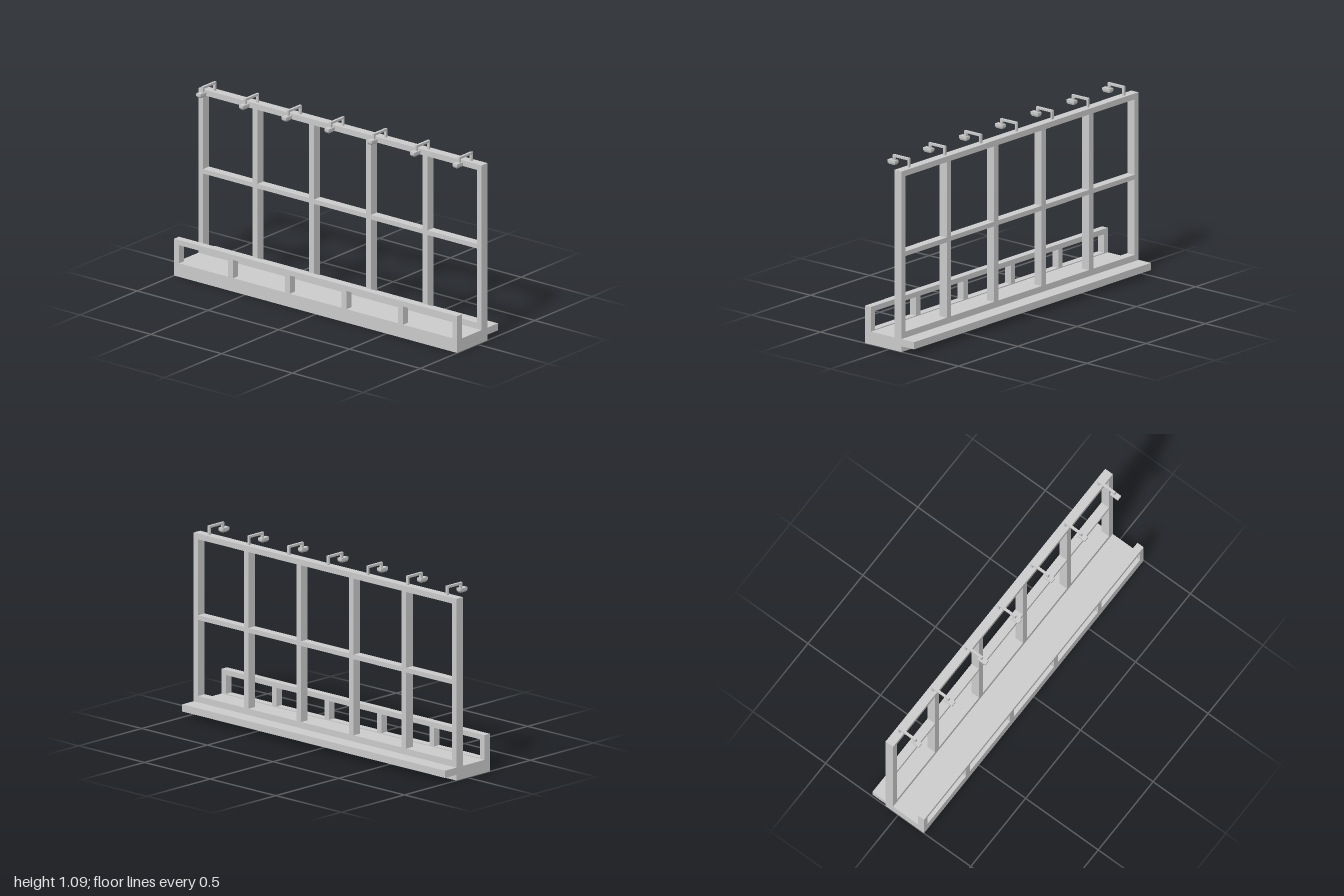
import * as THREE from 'three';

const material = new THREE.MeshStandardMaterial({ color: 0xcccccc, flatShading: true });
const polygon = (points) => points.map(([x, y]) => new THREE.Vector2(x, y));

// Box given by its lower and upper corners
function box(name, [x0, y0, z0], [x1, y1, z1]) {
  const mesh = new THREE.Mesh(new THREE.BoxGeometry(x1 - x0, y1 - y0, z1 - z0), material);
  mesh.position.set((x0 + x1) / 2, (y0 + y1) / 2, (z0 + z1) / 2);
  mesh.name = name;
  return mesh;
}

// Side outline of [z, y] points, extruded along x and centred on x = 0
function sideProfile(name, points, width) {
  const shape = new THREE.Shape(polygon(points.map(([z, y]) => [-z, y])));
  const geometry = new THREE.ExtrudeGeometry(shape, { depth: width, bevelEnabled: false });
  geometry.translate(0, 0, -width / 2).rotateY(Math.PI / 2);
  const mesh = new THREE.Mesh(geometry, material);
  mesh.name = name;
  return mesh;
}

// Full-width panel with five openings in each row
function openPanel(name, y0, y1, z0, z1, rows) {
  const shape = new THREE.Shape(polygon([[-1, y0], [1, y0], [1, y1], [-1, y1]]));
  for (const [low, high] of rows) {
    for (let i = 0; i < 5; i++) {
      const left = i === 0 ? -0.966 : -1 + i * 0.4 + 0.018;
      const right = i === 4 ? 0.966 : -0.6 + i * 0.4 - 0.018;
      shape.holes.push(new THREE.Path(polygon([[left, low], [left, high], [right, high], [right, low]])));
    }
  }
  const geometry = new THREE.ExtrudeGeometry(shape, { depth: z1 - z0, bevelEnabled: false });
  geometry.translate(0, 0, z0);
  const mesh = new THREE.Mesh(geometry, material);
  mesh.name = name;
  return mesh;
}

// Gooseneck arm with a rectangular lamp head tapering downwards
function createLamp(x) {
  const lamp = new THREE.Group();
  lamp.name = 'lamp';
  lamp.add(sideProfile('lampArm', [
    [-0.067, 1.035], [-0.067, 1.087], [0.052, 1.087], [0.052, 1.055],
    [0.038, 1.055], [0.038, 1.074], [-0.055, 1.074], [-0.055, 1.035],
  ], 0.014));
  lamp.add(box('lampHead', [-0.015, 1.04, 0.028], [0.015, 1.055, 0.083]));

  const taper = new THREE.CylinderGeometry(Math.SQRT1_2, Math.SQRT1_2 * 0.75, 0.01, 4);
  taper.rotateY(Math.PI / 4).scale(0.03, 1, 0.055);
  const lens = new THREE.Mesh(taper, material);
  lens.name = 'lampLens';
  lens.position.set(0, 1.035, 0.0555);
  lamp.add(lens);

  lamp.position.x = x;
  return lamp;
}

export function createModel() {
  const model = new THREE.Group();
  model.name = 'billboardFrame';

  // Walkway slab with the raised ledge behind it
  model.add(sideProfile('base', [
    [0.135, 0], [0.135, 0.074], [-0.178, 0.074], [-0.178, 0.033],
    [-0.087, 0.033], [-0.087, 0],
  ], 2));

  // Front railing and tall rear frame
  model.add(openPanel('frontRailing', 0, 0.215, 0.135, 0.178, [[0.079, 0.185]]));
  model.add(openPanel('rearFrame', 0.074, 1.035, -0.087, -0.035, [[0.11, 0.543], [0.57, 1.002]]));

  // Lamps along the top
  for (let i = -3; i <= 3; i++) model.add(createLamp(i * 0.302));

  return model;
}
